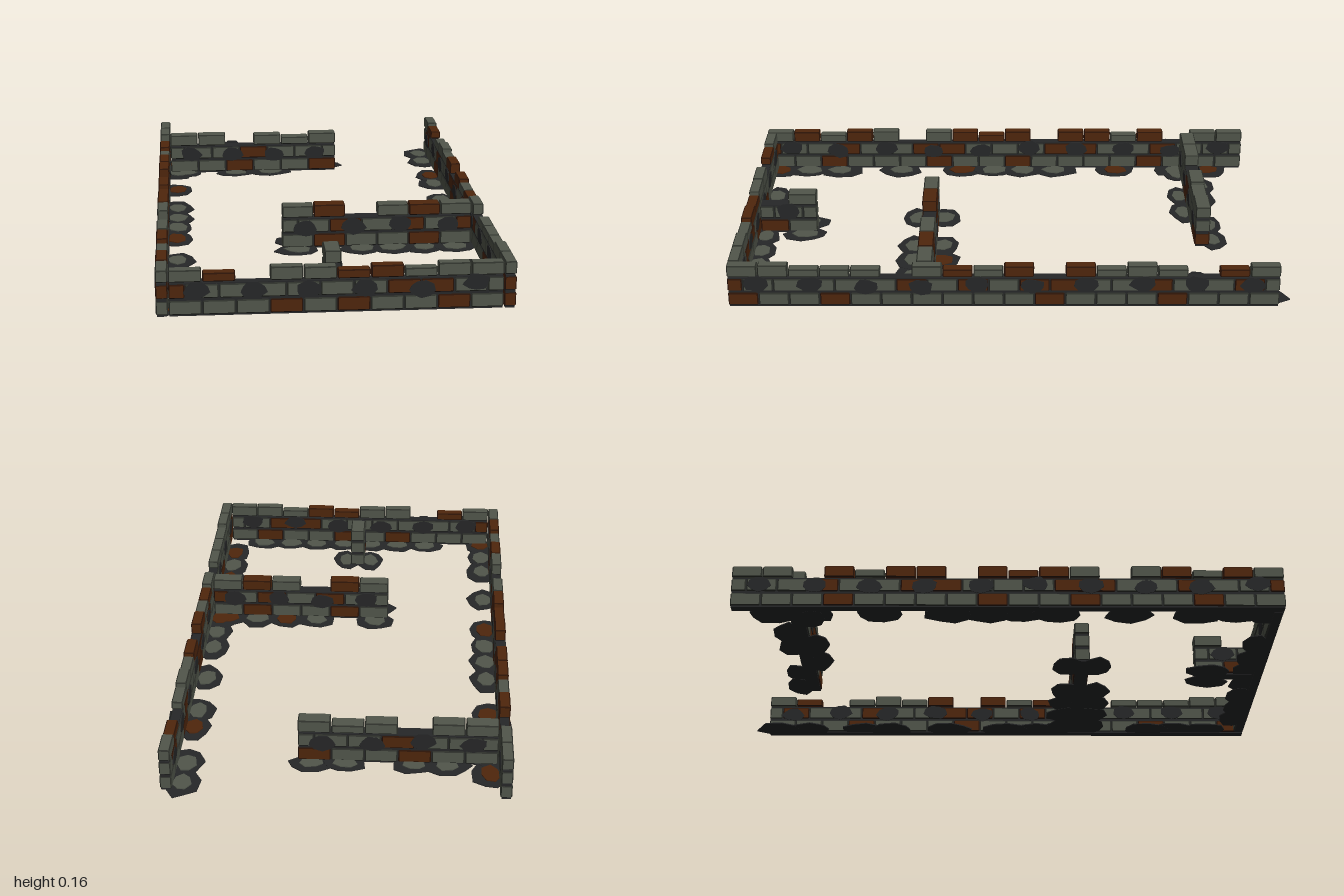
import * as THREE from 'three';
import { ConvexGeometry } from 'three/addons/geometries/ConvexGeometry.js';

const flat = (name, color) => Object.assign(new THREE.MeshStandardMaterial({ color }), { name, flatShading: true });

export function createModel() {
  const model = new THREE.Group();
  model.name = 'ruinedFoundation';
  const grey = flat('greyStone', 0x51564b);
  const greyEdge = flat('darkGreyEdge', 0x2b2e28);
  const rust = flat('rustBrick', 0x4f260c);
  const rustEdge = flat('darkRustEdge', 0x291206);
  const soot = flat('charcoal', 0x262728);

  let seed = 7;
  const rand = () => (seed = (seed * 16807) % 2147483647) / 2147483647;

  function add(parent, name, geometry, material, x = 0, y = 0, z = 0) {
    const mesh = new THREE.Mesh(geometry, material);
    mesh.name = name;
    mesh.position.set(x, y, z);
    parent.add(mesh);
  }

  // Chamfered block: flat sides use the first material, chamfers the second
  function blockGeometry(w, h, d) {
    const c = 0.004, pts = [];
    for (const sx of [-1, 1]) for (const sy of [-1, 1]) for (const sz of [-1, 1]) {
      const [x, y, z] = [w / 2, h / 2, d / 2];
      pts.push(
        new THREE.Vector3(sx * x, sy * (y - c), sz * (z - c)),
        new THREE.Vector3(sx * (x - c), sy * y, sz * (z - c)),
        new THREE.Vector3(sx * (x - c), sy * (y - c), sz * z));
    }
    const geo = new ConvexGeometry(pts);
    const n = geo.attributes.normal;
    for (let i = 0; i < n.count; i += 3) {
      const main = Math.max(Math.abs(n.getX(i)), Math.abs(n.getY(i)), Math.abs(n.getZ(i)));
      geo.addGroup(i, 3, main > 0.99 ? 0 : 1);
    }
    return geo;
  }

  // Thin irregular plate lying in the xz plane
  function patchGeometry(rx, rz, thick, sides = 9) {
    const geo = new THREE.CylinderGeometry(1, 1, thick, sides);
    const wobble = Array.from({ length: sides }, () => 0.82 + 0.3 * rand());
    const p = geo.attributes.position;
    for (let i = 0; i < p.count; i++) {
      const a = Math.atan2(p.getX(i), p.getZ(i));
      const k = wobble[(Math.round(a / (2 * Math.PI) * sides) + sides) % sides];
      p.setX(i, p.getX(i) * rx * k);
      p.setZ(i, p.getZ(i) * rz * k);
    }
    geo.computeVertexNormals();
    return geo;
  }

  // Wall from a to b. Rows: g grey, b rust, capitals low, dot missing.
  function wall(name, alongZ, fixed, a, b, thick, rows) {
    const group = new THREE.Group();
    group.name = name;
    const place = (s, off) => alongZ ? [fixed + off, s] : [s, fixed + off];
    const size = (len, h, t) => alongZ ? [t, h, len] : [len, h, t];
    const len = Math.abs(b - a), dir = Math.sign(b - a), step = len / rows[0].length;

    // Mortar core
    const [cx, cz] = place((a + b) / 2, 0);
    add(group, 'mortarCore', new THREE.BoxGeometry(...size(len - 0.008, 0.113, thick - 0.008)), soot, cx, 0.0565, cz);

    // Three courses, the middle one shifted by half a block
    rows.forEach((row, r) => {
      [...row].forEach((code, i) => {
        if (code === '.') return;
        const s0 = Math.max(0, (r === 1 ? i - 0.5 : i) * step);
        const s1 = Math.min(len, (r === 1 ? i + 0.5 : i + 1) * step);
        const low = code !== code.toLowerCase();
        const h = r < 2 ? 0.048 : low ? 0.03 : 0.041 + 0.005 * rand();
        const y = [0.005, 0.061, 0.117][r] + h / 2;
        const [x, z] = place(a + dir * (s0 + s1) / 2, 0);
        const isRust = code.toLowerCase() === 'b';
        add(group, isRust ? 'rustBlock' : 'greyBlock',
          blockGeometry(...size(s1 - s0 - 0.003, h, thick)),
          isRust ? [rust, rustEdge] : [grey, greyEdge], x, y, z);
      });
    });

    // Soot stains on both faces
    const count = Math.max(1, Math.round(len / 0.187));
    for (let i = 0; i < count; i++) for (const side of [-1, 1]) {
      const [x, z] = place(a + dir * len * (i + 0.5) / count, side * (thick / 2 + 0.0005));
      const geo = patchGeometry(0.045, 0.03, 0.003).rotateX(Math.PI / 2);
      if (alongZ) geo.rotateY(Math.PI / 2);
      add(group, 'sootStain', geo, soot, x, 0.075 + 0.018 * rand(), z);
    }
    model.add(group);
  }

  wall('frontWall', false, 0.979, -0.553, 0.55, 0.04,
    ['gggbgbggbg', 'bggggggbbgg', 'gB.ggBbGgg']);
  wall('leftWall', true, 0.571, 1, -0.945, 0.04,
    ['bggbggggggbgggbggg', 'bgggggbgbgbbggbggbg', 'ggGGG.gBGb.bGgG.Bg']);
  wall('rightWall', true, -0.574, 1, -0.945, 0.04,
    ['ggbgggbggbggggbggg', 'bggbggbbgggbbggbggg', 'gbGbg.gbBb.bbGb.gg']);
  wall('middlePartition', false, 0.308, -0.145, 0.55, 0.056,
    ['gbggbg', 'ggbgbgb', 'gb.gbg']);
  wall('backPartition', false, -0.717, -0.553, 0.14, 0.056,
    ['ggbggb', 'gggbggg', 'gg.gGg']);
  wall('frontStub', true, -0.003, 0.958, 0.74, 0.056,
    ['bg', 'ggg', '.g']);

  // Row of flat rubble on the ground beside a wall, with the same codes
  function rubbleRow(name, alongZ, fixed, start, step, codes, rx, rz) {
    const row = new THREE.Group();
    row.name = name;
    [...codes].forEach((code, i) => {
      if (code === '.') return;
      const s = start + i * step, lift = 0.0004 * (i % 4);
      const [x, z] = alongZ ? [fixed, s] : [s, fixed];
      const base = patchGeometry(rx, rz, 0.004).translate(x, 0.002 + lift, z);
      const chip = patchGeometry(rx * 0.58, rz * 0.58, 0.005, 7).translate(x, 0.0045 + lift, z);
      // Keep plates inside the outer wall faces
      for (const { attributes: { position: p } } of [base, chip]) {
        for (let j = 0; j < p.count; j++) {
          p.setX(j, THREE.MathUtils.clamp(p.getX(j), -0.585, 0.582));
          p.setZ(j, THREE.MathUtils.clamp(p.getZ(j), -1, 0.99));
        }
      }
      add(row, 'rubbleBase', base, soot);
      add(row, 'rubbleChip', chip, code === 'b' ? rust : grey);
    });
    model.add(row);
  }

  rubbleRow('rightWallRubble', true, -0.525, -0.8, 0.125, 'bg.b.gggb.g.ggb', 0.065, 0.088);
  rubbleRow('leftWallRubble', true, 0.522, -0.9, 0.115, 'gg.bg.g.ggb..bgb', 0.06, 0.09);
  rubbleRow('frontWallRubble', false, 0.935, -0.28, 0.115, 'ggggggg', 0.08, 0.055);
  rubbleRow('frontStubRubble', false, 0.785, -0.055, 0.1, 'gg', 0.055, 0.085);
  rubbleRow('middleFrontRubble', false, 0.36, -0.09, 0.116, 'g.gggg', 0.08, 0.065);
  rubbleRow('middleBackRubble', false, 0.26, -0.09, 0.116, 'g.gbgb', 0.075, 0.07);
  rubbleRow('backPartitionBackRubble', false, -0.76, -0.38, 0.118, 'gg.gg', 0.078, 0.052);
  rubbleRow('backPartitionFrontRubble', false, -0.672, -0.28, 0.14, 'gg', 0.085, 0.052);
  rubbleRow('backCornerRubble', false, -0.672, -0.49, 0.1, 'g', 0.075, 0.052);
  return model;
}
